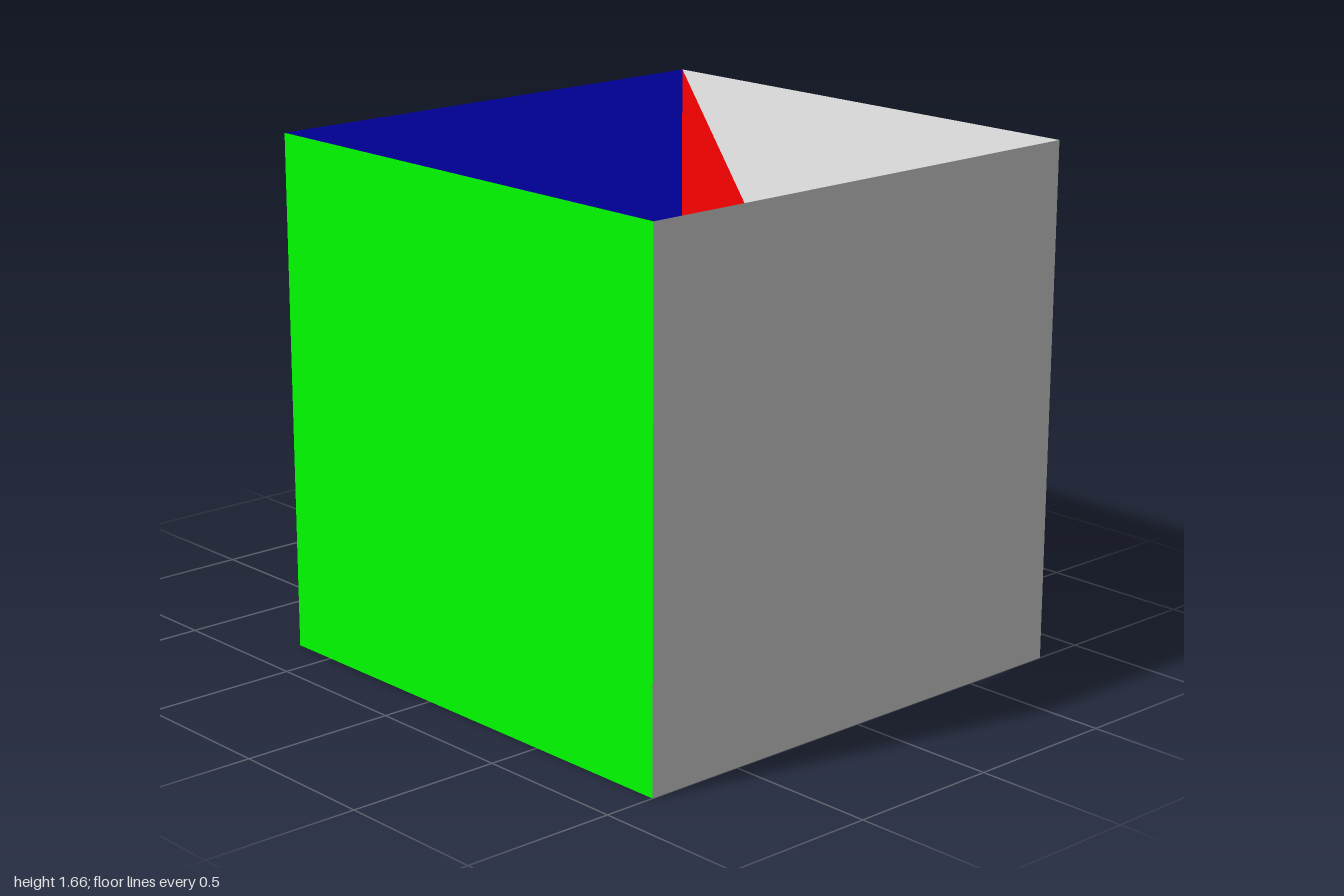
import * as THREE from 'three';

const S = 1.66, H = S / 2, CZ = 0.17; // wall size, half size, room centre in z

const material = (color) => new THREE.MeshStandardMaterial({ color, side: THREE.DoubleSide });

function panel(name, size, color, position, rotation = [0, 0, 0]) {
  const mesh = new THREE.Mesh(new THREE.PlaneGeometry(size, size), material(color));
  mesh.name = name;
  mesh.position.set(...position);
  mesh.rotation.set(...rotation);
  return mesh;
}

// Six-sided crystal: shaft widening from the base, then a pointed tip
function crystal(name, base, tip, baseRadius, radius, tipLength, mat) {
  const from = new THREE.Vector3(...base), to = new THREE.Vector3(...tip);
  const shaftLength = from.distanceTo(to) - tipLength;
  const group = new THREE.Group();
  group.name = name;

  const shaft = new THREE.Mesh(
    new THREE.CylinderGeometry(radius, baseRadius, shaftLength, 6, 1, true).translate(0, shaftLength / 2, 0), mat);
  shaft.name = 'crystalShaft';
  const point = new THREE.Mesh(
    new THREE.ConeGeometry(radius, tipLength, 6, 1, true).translate(0, shaftLength + tipLength / 2, 0), mat);
  point.name = 'crystalTip';
  const cap = new THREE.Mesh(
    new THREE.CircleGeometry(baseRadius, 6, Math.PI / 2).rotateX(Math.PI / 2), mat);
  cap.name = 'crystalBase';

  group.add(shaft, point, cap);
  group.position.copy(from);
  group.quaternion.setFromUnitVectors(new THREE.Vector3(0, 1, 0), to.sub(from).normalize());
  return group;
}

export function createModel() {
  const model = new THREE.Group();
  const grey = material(0xcccccc);

  // Four walls, open above and below
  model.add(
    panel('frontWall', S, 0xcccccc, [0, H, CZ + H]),
    panel('backWall', S, 0x0000ff, [0, H, CZ - H], [0, Math.PI, 0]),
    panel('leftWall', S, 0xff0000, [H, H, CZ], [0, Math.PI / 2, 0]),
    panel('rightWall', S, 0x00ff00, [-H, H, CZ], [0, -Math.PI / 2, 0]),
  );

  // Small level shelf in the front left corner
  model.add(panel('shelf', H, 0xcccccc, [H / 2, H, CZ + H / 2], [-Math.PI / 2, 0, 0]));

  // Sloping triangle from the top of the left wall to the middle of the front wall
  const slope = new THREE.BufferGeometry().setFromPoints([
    new THREE.Vector3(0, H, CZ + H),
    new THREE.Vector3(H, S, CZ + H),
    new THREE.Vector3(H, S, CZ - H),
  ]);
  slope.computeVertexNormals();
  const triangle = new THREE.Mesh(slope, grey);
  triangle.name = 'slopingTriangle';
  model.add(triangle);

  // Crystal cluster growing backwards: name, base, tip, base radius, radius, tip length
  const cluster = new THREE.Group();
  cluster.name = 'crystalCluster';
  [
    ['mainCrystal', [-0.02, 0.8, 0.38], [-0.02, 0.8, -1], 0.085, 0.105, 0.18],
    ['upperCrystal', [-0.05, 0.84, 0.38], [-0.06, 1.13, -0.77], 0.12, 0.165, 0.28],
    ['leftCrystal', [0.15, 0.76, 0.37], [0.24, 0.7, -0.46], 0.085, 0.13, 0.19],
    ['rightCrystal', [-0.15, 0.76, 0.37], [-0.24, 0.7, -0.45], 0.085, 0.12, 0.19],
    ['smallRightCrystal', [-0.13, 0.86, 0.37], [-0.24, 0.99, -0.16], 0.045, 0.05, 0.13],
    ['smallLeftCrystal', [0.09, 0.88, 0.38], [0.16, 1.13, -0.14], 0.06, 0.068, 0.13],
    ['lowerCrystal', [-0.02, 0.7, 0.37], [-0.03, 0.49, -0.4], 0.08, 0.1, 0.17],
  ].forEach((c) => cluster.add(crystal(...c, grey)));
  model.add(cluster);

  return model;
}
